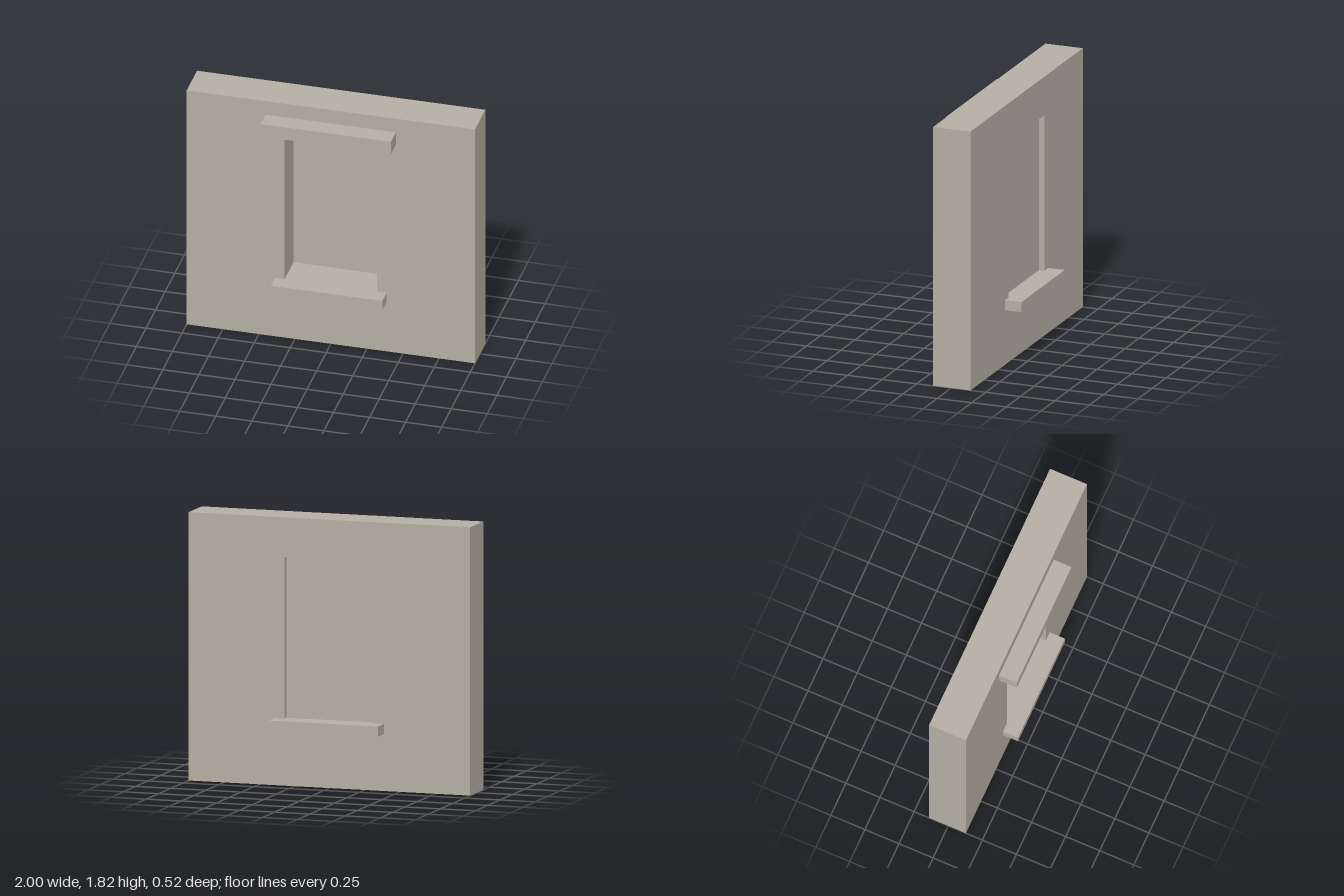
import * as THREE from 'three';

const WALL = { top: 1.82, front: 0.13, back: -0.14 };
const OPENING = { half: 0.32, bottom: 0.455, top: 1.55 };

// Copy of a geometry without the triangles lying wholly on a plane: axis = value
function dropFace(geometry, axis, value) {
  const source = geometry.index ? geometry.toNonIndexed() : geometry;
  const p = source.attributes.position.array;
  const offset = 'xyz'.indexOf(axis);
  const kept = [];
  for (let i = 0; i < p.length; i += 9) {
    const onPlane = [0, 3, 6].every((k) => Math.abs(p[i + k + offset] - value) < 1e-4);
    if (!onPlane) kept.push(...p.slice(i, i + 9));
  }
  const result = new THREE.BufferGeometry();
  result.setAttribute('position', new THREE.Float32BufferAttribute(kept, 3));
  result.computeVertexNormals();
  return result;
}

function rectangle(PathType, half, bottom, top) {
  return new PathType([
    new THREE.Vector2(-half, bottom),
    new THREE.Vector2(half, bottom),
    new THREE.Vector2(half, top),
    new THREE.Vector2(-half, top),
  ]);
}

// Box standing out from the wall, without the hidden face against it
function ledge(half, bottom, top, wallZ, outerZ) {
  const box = new THREE.BoxGeometry(2 * half, top - bottom, Math.abs(outerZ - wallZ));
  box.translate(0, (bottom + top) / 2, (wallZ + outerZ) / 2);
  return dropFace(box, 'z', wallZ);
}

export function createModel() {
  const model = new THREE.Group();
  model.name = 'wallWithWindow';
  const stone = new THREE.MeshStandardMaterial({ color: 0xb4aea3, side: THREE.DoubleSide });
  stone.name = 'warmGreyStone';

  const add = (name, geometry) => {
    const mesh = new THREE.Mesh(geometry, stone);
    mesh.name = name;
    model.add(mesh);
  };

  // Wall with a window opening, open underneath
  const outline = rectangle(THREE.Shape, 1, 0, WALL.top);
  outline.holes.push(rectangle(THREE.Path, OPENING.half, OPENING.bottom, OPENING.top));
  const wall = new THREE.ExtrudeGeometry(outline, {
    depth: WALL.front - WALL.back,
    bevelEnabled: false,
  });
  wall.translate(0, 0, WALL.back);
  add('wall', dropFace(wall, 'y', 0));

  // Thin pane set close to the back of the opening
  const pane = new THREE.PlaneGeometry(2 * OPENING.half, OPENING.top - OPENING.bottom);
  pane.translate(0, (OPENING.top + OPENING.bottom) / 2, -0.1);
  add('windowPane', pane);

  // Sills on both sides, open underneath, level with the opening's floor
  const sillBottom = 0.385;
  for (const [name, wallZ, outerZ] of [
    ['frontSill', WALL.front, 0.24],
    ['backSill', WALL.back, -0.26],
  ]) {
    const sill = ledge(0.387, sillBottom, OPENING.bottom, wallZ, outerZ);
    add(name, dropFace(sill, 'y', sillBottom));
  }

  // Lintel above the opening, front only
  add('lintel', ledge(0.452, 1.62, 1.715, WALL.front, 0.26));

  return model;
}
